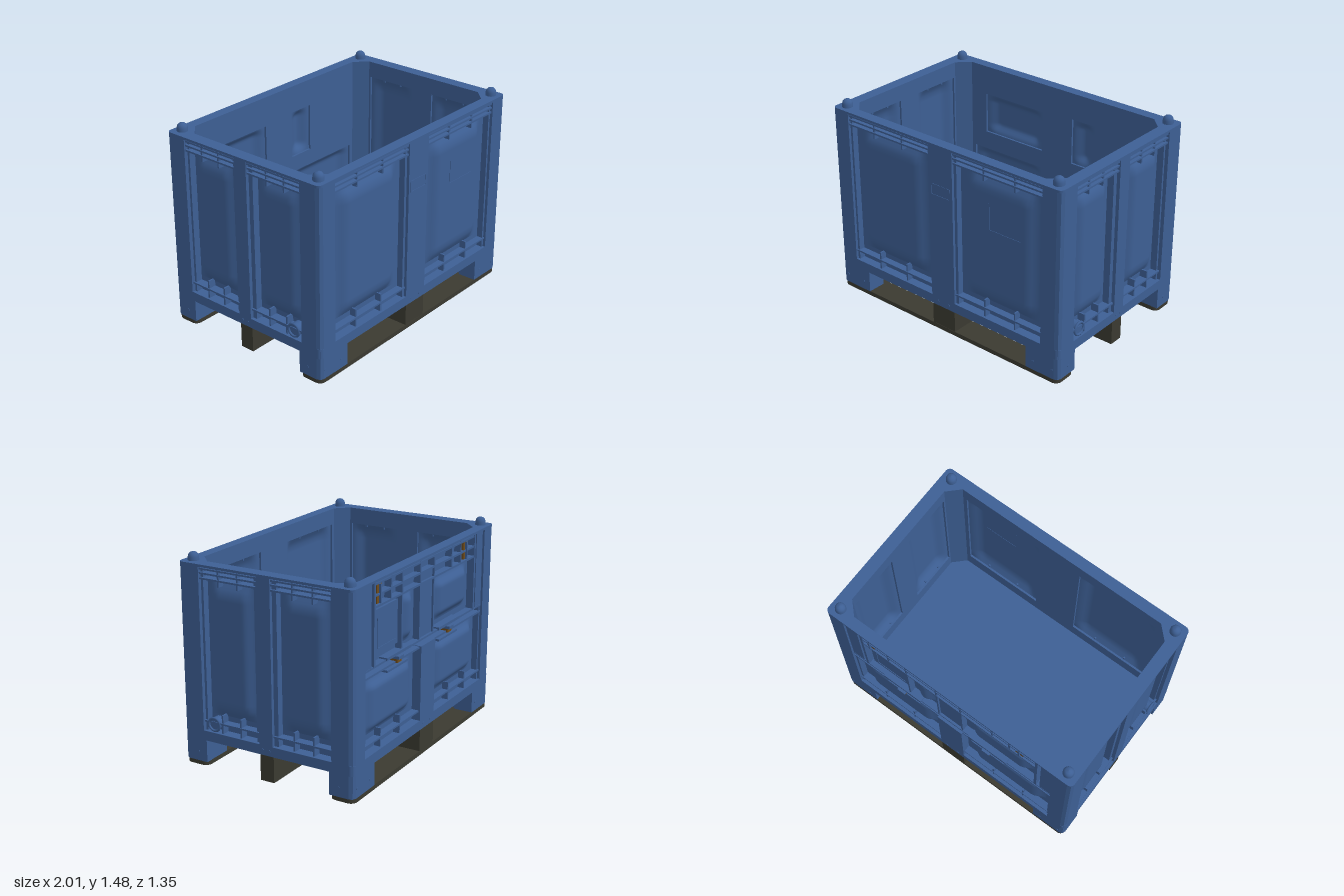
import * as THREE from 'three';

export function createModel() {
  const blue = new THREE.MeshStandardMaterial({ color: 0x3d5f94, side: THREE.DoubleSide });
  blue.name = 'blue plastic';
  const dark = new THREE.MeshStandardMaterial({ color: 0x3b3a31 });
  dark.name = 'dark runner plastic';
  const brown = new THREE.MeshStandardMaterial({ color: 0x6e4c1c });
  brown.name = 'brown latch';

  const root = new THREE.Group();
  const model = new THREE.Group();
  model.name = 'palletBox';
  model.position.z = 0.006;
  root.add(model);

  const add = (parent, name, geo, mat = blue) => {
    const m = new THREE.Mesh(geo, mat);
    m.name = name;
    parent.add(m);
    return m;
  };
  // box given by its limits
  const box = (parent, name, x0, x1, y0, y1, z0, z1, mat = blue) => {
    const m = add(parent, name, new THREE.BoxGeometry(Math.abs(x1 - x0), y1 - y0, Math.abs(z1 - z0)), mat);
    m.position.set((x0 + x1) / 2, (y0 + y1) / 2, (z0 + z1) / 2);
    return m;
  };
  // rounded rectangle outline in plan
  const roundRect = (x0, x1, y0, y1, r) => {
    const s = new THREE.Shape();
    s.absarc(x1 - r, y1 - r, r, 0, Math.PI / 2);
    s.absarc(x0 + r, y1 - r, r, Math.PI / 2, Math.PI);
    s.absarc(x0 + r, y0 + r, r, Math.PI, Math.PI * 1.5);
    s.absarc(x1 - r, y0 + r, r, Math.PI * 1.5, Math.PI * 2);
    return s;
  };
  // plan shape (x, z) raised from y0 to y1
  const slab = (shape, y0, y1) => new THREE.ExtrudeGeometry(shape, { depth: y1 - y0, bevelEnabled: false, curveSegments: 6 })
    .rotateX(Math.PI / 2).translate(0, y1, 0);
  const points = (list) => list.map(([x, y]) => new THREE.Vector2(x, y));
  const rectPath = ([x0, x1, y0, y1]) => new THREE.Path(points([[x0, y0], [x0, y1], [x1, y1], [x1, y0]]));

  // bulging sheet that closes a window in the wall
  const pillow = (parent, [x0, x1, y0, y1], z, depth) => {
    const w = x1 - x0, h = y1 - y0;
    const geo = new THREE.PlaneGeometry(w, h, 24, 24);
    const p = geo.attributes.position;
    for (let i = 0; i < p.count; i++) {
      const ex = w / 2 - Math.abs(p.getX(i)), ey = h / 2 - Math.abs(p.getY(i));
      p.setZ(i, depth * THREE.MathUtils.smoothstep(ex, 0, 0.1) * THREE.MathUtils.smoothstep(ey, 0, 0.07));
    }
    geo.computeVertexNormals();
    add(parent, 'bulgedPanel', geo).position.set((x0 + x1) / 2, (y0 + y1) / 2, z);
  };
  // wall sheet with windows, local z pointing outwards
  const wall = (name, half, inner, windows, rotY) => {
    const g = new THREE.Group();
    g.name = name;
    g.rotation.y = rotY;
    model.add(g);
    const s = new THREE.Shape(points([[-half, 0.2], [half, 0.2], [half, 1.41], [-half, 1.41]]));
    s.holes.push(...windows.map(rectPath));
    add(g, 'wallSheet', new THREE.ExtrudeGeometry(s, { depth: 0.015, bevelEnabled: false })).position.z = inner;
    windows.forEach((w) => pillow(g, w, inner + 0.015, 0.04));
    return g;
  };
  const topRibs = (g, a, b, z0, z1, uprights) => {
    [1.325, 1.36, 1.39].forEach((y) => box(g, 'topLedge', a, b, y - 0.006, y + 0.006, z0, z1 - 0.008));
    uprights.forEach((x) => box(g, 'topUpright', x - 0.006, x + 0.006, 1.28, 1.41, z0, z1 - 0.015));
  };
  const bottomRibs = (g, a, b, z0, z1, uprights) => {
    box(g, 'bottomLedge', a, b, 0.322, 0.334, z0, z1 - 0.012);
    uprights.forEach((x) => box(g, 'bottomUpright', x - 0.006, x + 0.006, 0.26, 0.39, z0, z1 - 0.018));
  };
  const mirrorX = ([a, b, c, d]) => [-b, -a, c, d];
  const bolts = (g, list, z) => list.forEach(([x, y]) =>
    add(g, 'boltHead', new THREE.CylinderGeometry(0.01, 0.01, 0.006, 8).rotateX(Math.PI / 2)).position.set(x, y, z));

  // front wall
  const frontWin = [0.17, 0.79, 0.37, 1.3];
  const front = wall('frontWall', 0.86, 0.585, [frontWin, mirrorX(frontWin)], 0);
  box(front, 'centrePost', -0.103, 0.103, 0.19, 1.41, 0.6, 0.665);
  for (const s of [-1, 1]) {
    topRibs(front, s * 0.1, s * 0.855, 0.6, 0.665, [s * 0.36, s * 0.62]);
    bottomRibs(front, s * 0.1, s * 0.855, 0.6, 0.665, [s * 0.36, s * 0.62]);
    box(front, 'edgeStep', s * 0.835, s * 0.855, 0.26, 1.41, 0.6, 0.645);
    box(front, 'edgeStep', s * 0.1, s * 0.125, 0.26, 1.41, 0.6, 0.645);
  }
  const tag = roundRect(-0.085, 0.085, 1.045, 1.13, 0.012);
  tag.holes.push(rectPath([-0.078, 0.078, 1.052, 1.123]));
  add(front, 'tagFrame', new THREE.ExtrudeGeometry(tag, { depth: 0.004, bevelEnabled: false })).position.z = 0.664;
  box(front, 'cornerMark', 0.395, 0.401, 0.935, 1.13, 0.638, 0.643);
  box(front, 'cornerMark', 0.395, 0.66, 0.932, 0.937, 0.638, 0.643);

  // side walls
  const sideWin = [0.09, 0.48, 0.37, 1.3];
  for (const s of [-1, 1]) {
    const g = wall(s > 0 ? 'rightWall' : 'leftWall', 0.51, 0.91, [sideWin, mirrorX(sideWin)], s * Math.PI / 2);
    box(g, 'centrePost', -0.052, 0.052, 0.19, 1.41, 0.925, 1);
    for (const t of [-1, 1]) {
      topRibs(g, t * 0.05, t * 0.51, 0.925, 1, [t * 0.21, t * 0.36]);
      bottomRibs(g, t * 0.05, t * 0.51, 0.925, 1, [t * 0.21, t * 0.36]);
      box(g, 'edgeStep', t * 0.485, t * 0.51, 0.26, 1.41, 0.925, 0.975);
      box(g, 'edgeStep', t * 0.05, t * 0.085, 0.26, 1.41, 0.925, 0.975);
    }
    // drain port near the front corner
    add(g, 'drainRing', new THREE.TorusGeometry(0.045, 0.009, 8, 24)).position.set(-s * 0.425, 0.315, 0.985);
    add(g, 'drainCap', new THREE.CylinderGeometry(0.045, 0.045, 0.06, 24).rotateX(Math.PI / 2)).position.set(-s * 0.425, 0.315, 0.952);
    bolts(g, [[-0.025, 0.225], [0.025, 0.225], [-0.555, 0.095], [0.555, 0.095]], 1);
  }

  // back wall; local x runs opposite to model x
  const lowWin = [0.15, 0.79, 0.37, 0.75];
  const back = wall('backWall', 0.86, 0.585,
    [lowWin, mirrorX(lowWin), [0.14, 0.68, 0.89, 1.2], [-0.33, -0.13, 0.87, 1.22]], Math.PI);
  box(back, 'lowerCentrePost', -0.103, 0.103, 0.19, 0.8, 0.6, 0.665);
  box(back, 'doorCentre', -0.1, 0.1, 0.84, 1.3, 0.6, 0.635);
  box(back, 'labelPanel', -0.68, -0.37, 0.9, 1.2, 0.6, 0.625);
  box(back, 'cornerMark', -0.64, -0.635, 0.94, 1.14, 0.624, 0.629);
  box(back, 'cornerMark', -0.64, -0.4, 0.935, 0.94, 0.624, 0.629);
  for (const s of [-1, 1]) {
    bottomRibs(back, s * 0.1, s * 0.855, 0.6, 0.665, [s * 0.36, s * 0.62]);
    box(back, 'doorSideBar', s * 0.71, s * 0.73, 0.84, 1.405, 0.6, 0.655);
    box(back, 'doorFrame', s * 0.755, s * 0.855, 0.84, 1.41, 0.6, 0.65);
    box(back, 'edgeStep', s * 0.835, s * 0.855, 0.26, 0.84, 0.6, 0.645);
  }
  [[0.79, 0.85], [0.84, 0.855], [1.235, 0.72], [1.31, 0.72], [1.385, 0.72]].forEach(([y, w]) =>
    box(back, 'doorLedge', -w, w, y - 0.007, y + 0.007, 0.6, 0.652));
  [-0.5, -0.35, -0.1, 0.1, 0.36, 0.5].forEach((x) =>
    box(back, 'doorUpright', x - 0.007, x + 0.007, 1.23, 1.4, 0.6, 0.65));
  [-0.35, -0.1, 0.1].forEach((x) => box(back, 'doorUpright', x - 0.007, x + 0.007, 0.84, 1.24, 0.6, 0.648));
  // door locks and latches
  [-0.65, 0.58].forEach((x) => {
    box(back, 'doorLock', x - 0.03, x + 0.03, 1.25, 1.375, 0.6, 0.645, brown);
    box(back, 'lockBar', x - 0.006, x + 0.006, 1.25, 1.375, 0.64, 0.66);
  });
  [-0.41, 0.32].forEach((x) => {
    box(back, 'latchHook', x - 0.028, x + 0.028, 0.785, 0.83, 0.6, 0.665, brown);
    box(back, 'latchTab', x - 0.032, x + 0.032, 0.812, 0.832, 0.6, 0.68);
    box(back, 'latchArm', x - 0.16, x + 0.16, 0.838, 0.858, 0.6, 0.662);
    box(back, 'latchSkirt', x - 0.14, x + 0.14, 0.75, 0.765, 0.6, 0.655);
  });
  for (const g of [front, back])
    bolts(g, [[-0.05, 0.225], [0.05, 0.225], [-0.95, 0.095], [0.95, 0.095], [-0.79, 0.095], [0.79, 0.095]], 0.665);

  // floor, base rail and top rim
  box(model, 'floor', -0.95, 0.95, 0.195, 0.25, -0.63, 0.63);
  const opening = points([[-0.91, -0.495], [-0.82, -0.585], [0.82, -0.585], [0.91, -0.495],
    [0.91, 0.495], [0.82, 0.585], [-0.82, 0.585], [-0.91, 0.495]]);
  const ring = roundRect(-1, 1, -0.665, 0.665, 0.035);
  ring.holes.push(new THREE.Path(opening));
  add(model, 'baseRail', slab(ring, 0.19, 0.26));
  add(model, 'topRim', slab(ring, 1.403, 1.42));

  // corner posts, legs and stacking knobs
  const post = new THREE.Shape(points([[0.82, 0.585], [0.91, 0.495], [1, 0.505], [1, 0.63],
    [0.99, 0.655], [0.965, 0.665], [0.852, 0.665], [0.852, 0.6], [0.82, 0.6]]));
  const leg = new THREE.Shape(points([[0.73, 0.53], [0.775, 0.485], [1, 0.485], [1, 0.63],
    [0.99, 0.655], [0.965, 0.665], [0.73, 0.665]]));
  const knob = new THREE.LatheGeometry(points([[0.038, 0], [0.037, 0.025], [0.032, 0.042], [0.02, 0.054], [0, 0.059]]), 20);
  for (const sx of [-1, 1]) for (const sz of [-1, 1]) {
    const corner = new THREE.Group();
    corner.name = 'corner';
    corner.scale.set(sx, 1, sz);
    model.add(corner);
    add(corner, 'cornerPost', slab(post, 0.19, 1.41));
    add(corner, 'cornerLeg', slab(leg, 0.03, 0.2));
    add(corner, 'stackingKnob', knob).position.set(0.925, 1.419, 0.595);
  }

  // runners
  for (const s of [-1, 1]) {
    const z0 = s > 0 ? 0.485 : -0.665;
    add(model, 'outerRunner', slab(roundRect(-0.997, 0.997, z0, z0 + 0.18, 0.045), 0, 0.032), dark);
    box(model, 'runnerBlock', -0.1, 0.1, 0.03, 0.195, z0, z0 + 0.178, dark);
  }
  box(model, 'middleRunner', -0.99, 0.99, 0, 0.195, -0.053, 0.053, dark);
  return root;
}
